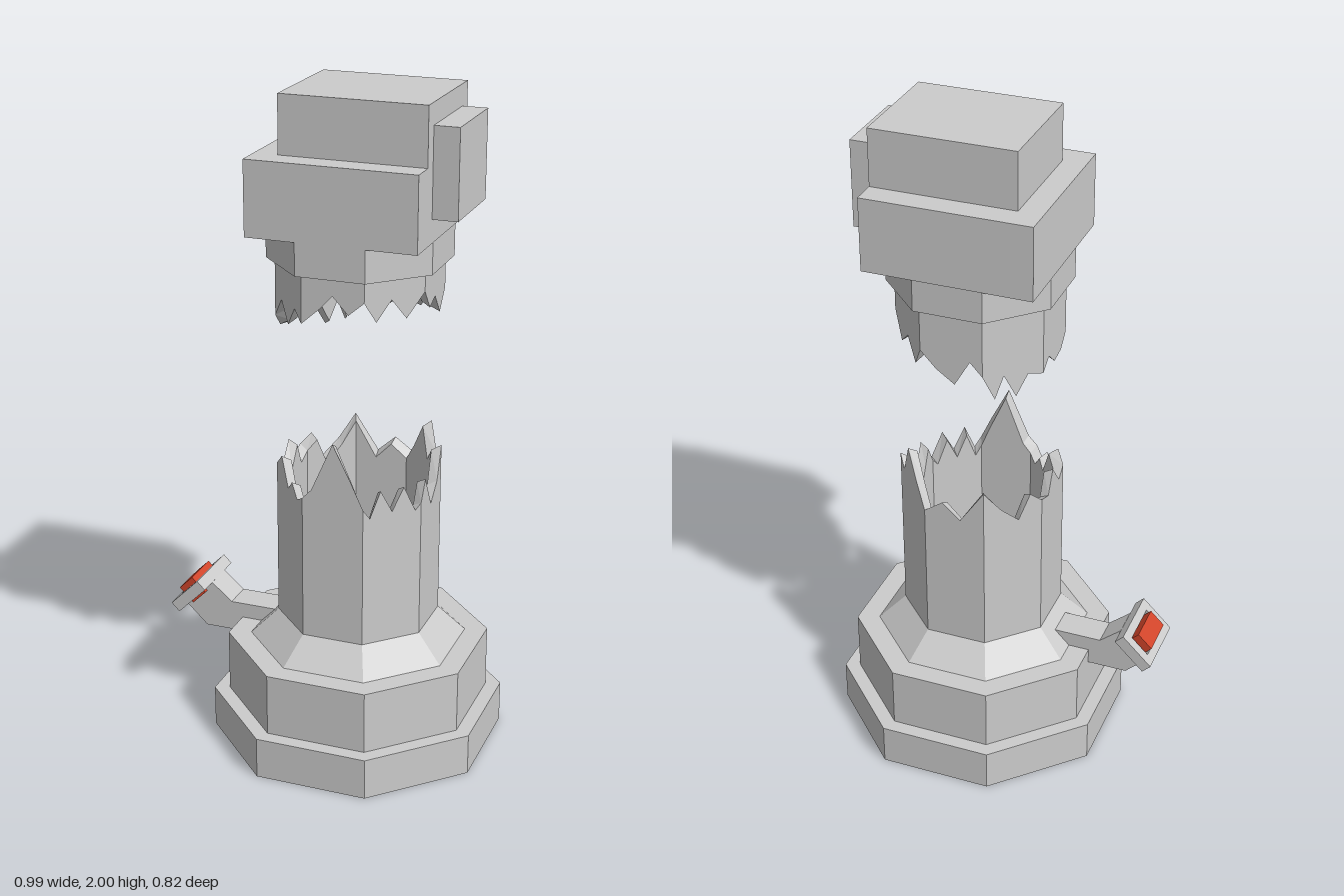
import * as THREE from 'three';

const CX = 0.083; // column axis
const grey = new THREE.MeshStandardMaterial({ color: 0xcccccc, flatShading: true });
const red = new THREE.MeshStandardMaterial({ color: 0xd2452a, flatShading: true });

function add(parent, name, geometry, material = grey) {
  const mesh = new THREE.Mesh(geometry, material);
  mesh.name = name;
  parent.add(mesh);
  return mesh;
}

// Box given by its ranges on each axis
function box(parent, name, [x0, x1], [y0, y1], [z0, z1], material) {
  const mesh = add(parent, name, new THREE.BoxGeometry(x1 - x0, y1 - y0, z1 - z0), material);
  mesh.position.set((x0 + x1) / 2, (y0 + y1) / 2, (z0 + z1) / 2);
}

// Octagonal tier with flat sides to the front; a0 and a1 are half widths across flats
function tier(parent, name, a0, a1, y0, y1) {
  const k = 1 / Math.cos(Math.PI / 8);
  const mesh = add(parent, name, new THREE.CylinderGeometry(a1 * k, a0 * k, y1 - y0, 8, 1, false, Math.PI / 8));
  mesh.position.set(CX, (y0 + y1) / 2, 0);
}

// Point on an octagon: whole u is a side's middle, half u is a corner
function octPoint(u, a, y) {
  const side = Math.round(u), ang = side * Math.PI / 4;
  const t = (u - side) * 2 * Math.tan(Math.PI / 8) * a;
  return [CX + a * Math.sin(ang) + t * Math.cos(ang), y, a * Math.cos(ang) - t * Math.sin(ang)];
}

// Hollow octagonal tube broken along a jagged rim of [u, height] pairs
function brokenTube(parent, name, base, rim, flip) {
  const outer = 0.225, inner = 0.197, chip = flip ? 0.015 : -0.015;
  const columns = [...rim, [rim[0][0] + 8, rim[0][1]]].map(([u, h]) => [
    octPoint(u, outer, base), octPoint(u, outer, h),
    octPoint(u, inner, h + chip), octPoint(u, inner, base),
  ]);
  const pos = [];
  for (let i = 0; i < columns.length - 1; i++) {
    const p = columns[i], q = columns[i + 1];
    for (let j = 0; j < 3; j++) {
      const quad = [p[j], q[j], q[j + 1], p[j + 1]];
      if (flip) quad.reverse();
      for (const k of [0, 1, 2, 0, 2, 3]) pos.push(...quad[k]);
    }
  }
  const g = new THREE.BufferGeometry();
  g.setAttribute('position', new THREE.Float32BufferAttribute(pos, 3));
  g.computeVertexNormals();
  add(parent, name, g);
}

export function createModel() {
  const model = new THREE.Group();
  model.name = 'brokenColumn';

  // Stepped base
  tier(model, 'baseTier', 0.41, 0.41, 0, 0.127);
  tier(model, 'upperBaseTier', 0.367, 0.367, 0.127, 0.318);
  tier(model, 'baseChamfer', 0.303, 0.225, 0.318, 0.398);

  // Lower tube, broken at the top
  brokenTube(model, 'lowerTube', 0.398, [
    [-0.5, 0.84], [-0.35, 0.87], [0, 1.02], [0.3, 0.91], [0.5, 0.83], [0.62, 0.8], [0.8, 0.88],
    [1, 0.81], [1.2, 0.88], [1.4, 0.8], [1.5, 0.82], [1.7, 0.88], [1.85, 0.83], [2, 0.78],
    [2.3, 0.83], [2.5, 0.93], [2.65, 0.89], [2.85, 0.985], [3.2, 0.9], [3.5, 0.84], [3.8, 0.88],
    [4.1, 0.83], [4.5, 0.94], [4.8, 0.87], [5.1, 0.82], [5.3, 0.9], [5.5, 0.87], [5.8, 0.85],
    [6, 0.92], [6.3, 0.85], [6.5, 0.88], [6.7, 0.915], [6.95, 0.83], [7.1, 0.86], [7.3, 0.82],
  ], false);

  // Upper tube, broken at the bottom
  brokenTube(model, 'upperTube', 1.513, [
    [-0.5, 1.37], [-0.2, 1.42], [0, 1.46], [0.25, 1.41], [0.5, 1.45], [0.7, 1.39], [0.95, 1.45],
    [1.2, 1.39], [1.5, 1.46], [1.75, 1.4], [2, 1.42], [2.25, 1.36], [2.5, 1.42], [2.75, 1.34],
    [3, 1.38], [3.3, 1.32], [3.5, 1.38], [3.75, 1.33], [4.05, 1.29], [4.3, 1.37], [4.5, 1.33],
    [4.7, 1.25], [4.85, 1.32], [5.05, 1.245], [5.25, 1.31], [5.5, 1.3], [5.75, 1.33], [6, 1.29],
    [6.3, 1.3], [6.5, 1.34], [6.75, 1.4], [7, 1.34], [7.25, 1.4],
  ], true);

  // Head blocks
  tier(model, 'collar', 0.248, 0.248, 1.513, 1.61);
  box(model, 'headBlock', [-0.168, 0.335], [1.61, 1.83], [-0.252, 0.25]);
  box(model, 'topBlock', [-0.096, 0.335], [1.83, 2], [-0.176, 0.174]);
  box(model, 'sidePlate', [0.335, 0.409], [1.678, 1.937], [-0.131, 0.128]);

  // Bent arm holding the switch
  const arm = new THREE.Shape([
    [-0.17, 0.27], [-0.17, 0.365], [-0.32, 0.365], [-0.385, 0.42], [-0.47, 0.332], [-0.405, 0.27],
  ].map(([x, y]) => new THREE.Vector2(x, y)));
  const armGeometry = new THREE.ExtrudeGeometry(arm, { depth: 0.094, bevelEnabled: false });
  add(model, 'switchArm', armGeometry).position.z = -0.049;

  // Tilted switch: slotted plate with a rocker through it
  const panel = new THREE.Group();
  panel.name = 'switchPanel';
  panel.position.set(-0.455, 0.4, -0.002);
  panel.rotation.z = Math.PI / 4;
  model.add(panel);
  const rect = (Type, w, h) => new Type([[-w, -h], [w, -h], [w, h], [-w, h]].map(([x, y]) => new THREE.Vector2(x, y)));
  const plate = rect(THREE.Shape, 0.063, 0.103);
  plate.holes.push(rect(THREE.Path, 0.036, 0.073));
  const plateGeometry = new THREE.ExtrudeGeometry(plate, { depth: 0.036, bevelEnabled: false });
  add(panel, 'switchPlate', plateGeometry.rotateX(-Math.PI / 2)).position.y = -0.036;
  box(panel, 'rocker', [-0.03, 0.03], [-0.045, 0.018], [-0.063, 0.063], red);

  return model;
}
